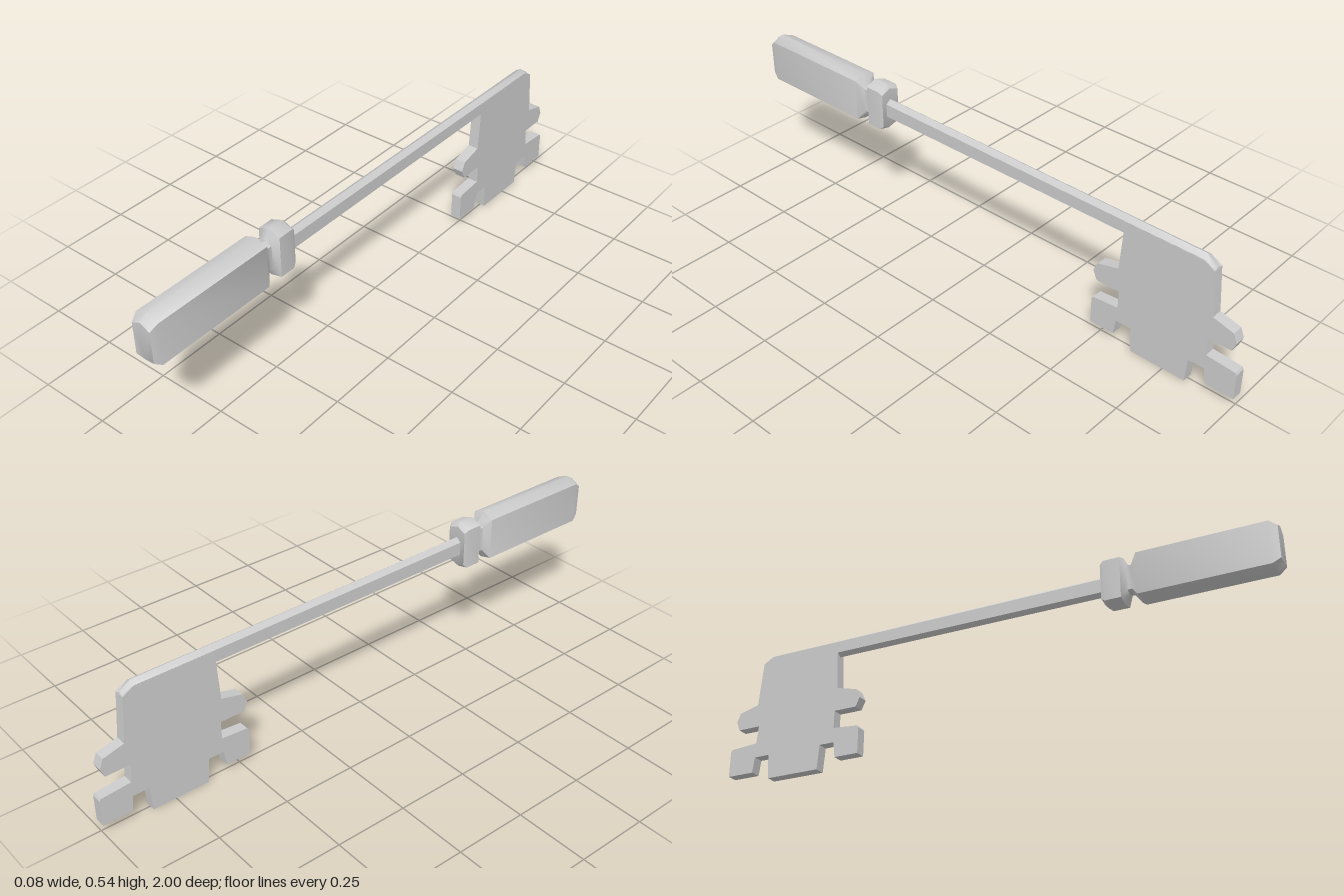
import * as THREE from 'three';
import { toCreasedNormals } from 'three/addons/utils/BufferGeometryUtils.js';

const material = new THREE.MeshStandardMaterial({ color: 0xcccccc });

// Lofts peaked six-sided sections along z, listed from front to back:
// [z, half width, bottom ridge y, lower side y, upper side y, top ridge y]
function loft(name, sections) {
  const pos = [], index = [];
  for (const [z, w, b, lo, hi, t] of sections) {
    pos.push(0, b, z, w, lo, z, w, hi, z, 0, t, z, -w, hi, z, -w, lo, z);
  }
  const last = (sections.length - 1) * 6;
  for (let i = 0; i < last; i += 6) {
    for (let j = 0; j < 6; j++) {
      const a = i + j, b = i + (j + 1) % 6;
      index.push(a, a + 6, b, b, a + 6, b + 6);
    }
  }
  for (let j = 1; j < 5; j++) {
    index.push(0, j, j + 1, last, last + j + 1, last + j);
  }
  const geo = new THREE.BufferGeometry();
  geo.setAttribute('position', new THREE.Float32BufferAttribute(pos, 3));
  geo.setIndex(index);
  const mesh = new THREE.Mesh(toCreasedNormals(geo, 0.8), material);
  mesh.name = name;
  return mesh;
}

export function createModel() {
  const group = new THREE.Group();
  group.name = 'key';

  // Grip with bevelled ends, pinched neck and collar
  group.add(loft('handle', [
    [1.0, 0.034, 0.393, 0.395, 0.506, 0.523],
    [0.975, 0.042, 0.367, 0.378, 0.525, 0.541],
    [0.55, 0.042, 0.367, 0.378, 0.525, 0.541],
    [0.527, 0.023, 0.4, 0.41, 0.496, 0.507],
    [0.512, 0.023, 0.4, 0.41, 0.496, 0.507],
    [0.495, 0.041, 0.37, 0.38, 0.523, 0.539],
    [0.44, 0.041, 0.37, 0.38, 0.523, 0.539],
    [0.427, 0.036, 0.385, 0.392, 0.512, 0.526],
  ]));

  // Long stem, tapering slightly to a chamfered end
  group.add(loft('shaft', [
    [0.44, 0.018, 0.414, 0.425, 0.472, 0.486],
    [-0.57, 0.0185, 0.414, 0.425, 0.467, 0.48],
    [-0.845, 0.0185, 0.414, 0.425, 0.467, 0.478],
    [-0.884, 0.0185, 0.414, 0.422, 0.442, 0.45],
  ]));

  // Flat toothed bit, outlined as (z, y)
  const outline = [
    [-0.57, 0.465], [-0.57, 0.415], [-0.562, 0.287],
    [-0.485, 0.268], [-0.47, 0.236], [-0.485, 0.203], [-0.57, 0.203],
    [-0.57, 0.14], [-0.475, 0.132], [-0.47, 0.124], [-0.47, 0.032], [-0.56, 0.032],
    [-0.567, 0.087], [-0.623, 0.087], [-0.63, 0],
    [-0.83, 0], [-0.836, 0.087], [-0.893, 0.087],
    [-0.9, 0.032], [-1, 0.032], [-1, 0.124], [-0.995, 0.132], [-0.893, 0.14],
    [-0.887, 0.203], [-0.972, 0.203], [-0.985, 0.236], [-0.972, 0.268],
    [-0.899, 0.287], [-0.885, 0.445], [-0.85, 0.465],
  ];
  const shape = new THREE.Shape(outline.map(([z, y]) => new THREE.Vector2(z, y)));
  const bitGeo = new THREE.ExtrudeGeometry(shape, { depth: 0.038, bevelEnabled: false });
  bitGeo.translate(0, 0, -0.019).rotateY(-Math.PI / 2);
  const bit = new THREE.Mesh(bitGeo, material);
  bit.name = 'bit';
  group.add(bit);

  return group;
}
